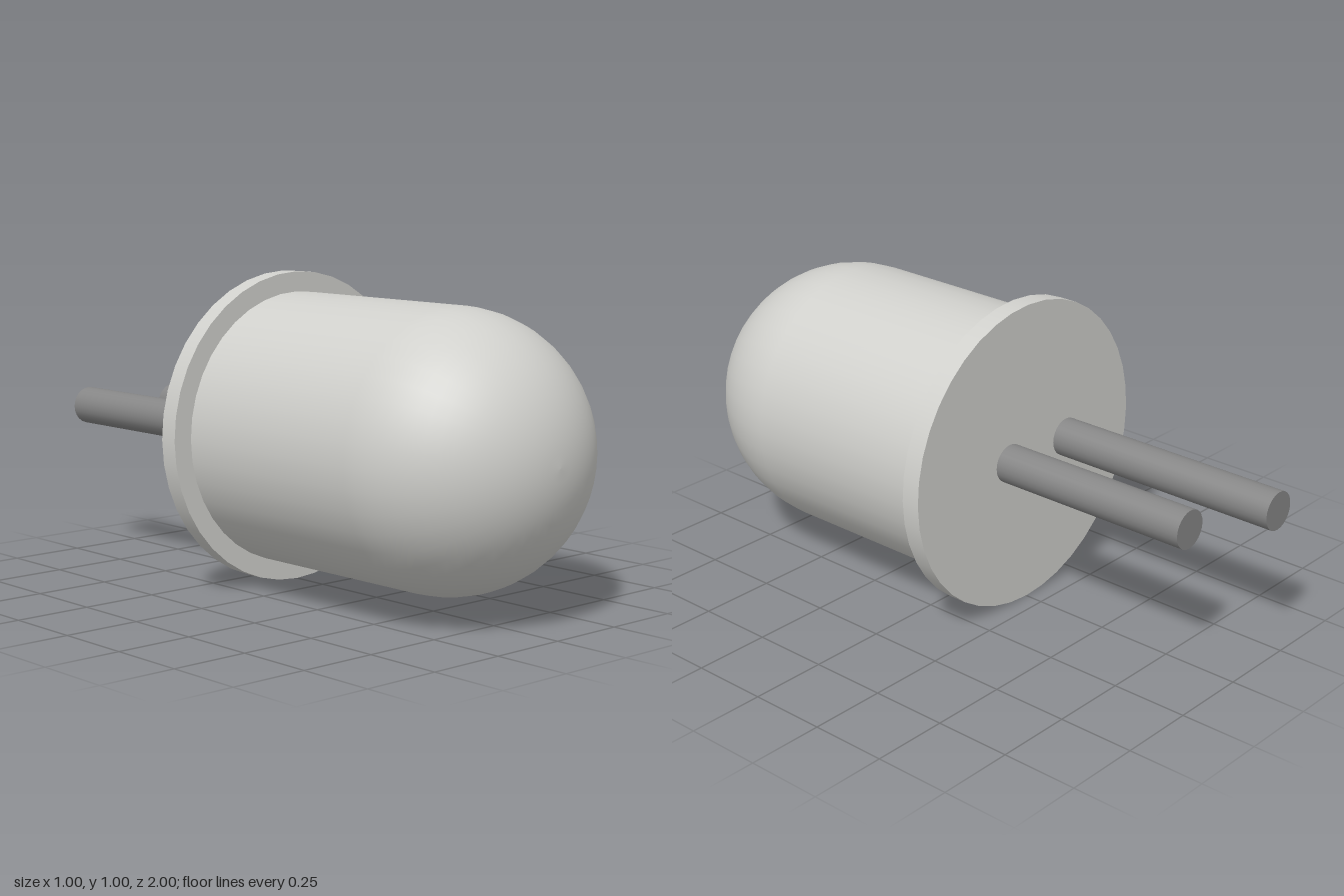
import * as THREE from 'three';

const AXIS_Y = 0.5; // height of the lamp's axis
const SIDES = 40;

export function createModel() {
  const group = new THREE.Group();
  const lensGrey = new THREE.MeshStandardMaterial({ color: 0xd0d0cc });
  lensGrey.name = 'lens grey';
  const leadGrey = new THREE.MeshStandardMaterial({ color: 0x868686 });
  leadGrey.name = 'lead grey';

  // Adds a part turned so that its own axis runs along z
  function add(name, geometry, material, x = 0, z = 0) {
    geometry.rotateX(Math.PI / 2);
    const mesh = new THREE.Mesh(geometry, material);
    mesh.name = name;
    mesh.position.set(x, AXIS_Y, z);
    group.add(mesh);
  }

  // A cylinder between two z positions
  function rod(name, radius, back, front, material, x, sides) {
    const geometry = new THREE.CylinderGeometry(radius, radius, front - back, sides);
    add(name, geometry, material, x, (back + front) / 2);
  }

  // Lens: straight barrel running into a half-sphere dome
  const radius = 0.436;
  const domeStart = 1 - radius;
  const profile = [new THREE.Vector2(radius, -0.13)];
  const steps = 16;
  for (let i = 0; i <= steps; i++) {
    const a = (i / steps) * Math.PI / 2;
    const r = i === steps ? 0 : radius * Math.cos(a);
    profile.push(new THREE.Vector2(r, domeStart + radius * Math.sin(a)));
  }
  add('lens', new THREE.LatheGeometry(profile, SIDES), lensGrey);

  // Rim flange behind the lens
  rod('flange', 0.5, -0.187, -0.125, lensGrey, 0, SIDES);

  // Two leads, one longer than the other
  rod('longLead', 0.062, -1, -0.18, leadGrey, -0.188, 24);
  rod('shortLead', 0.062, -0.877, -0.18, leadGrey, 0.084, 24);

  return group;
}
